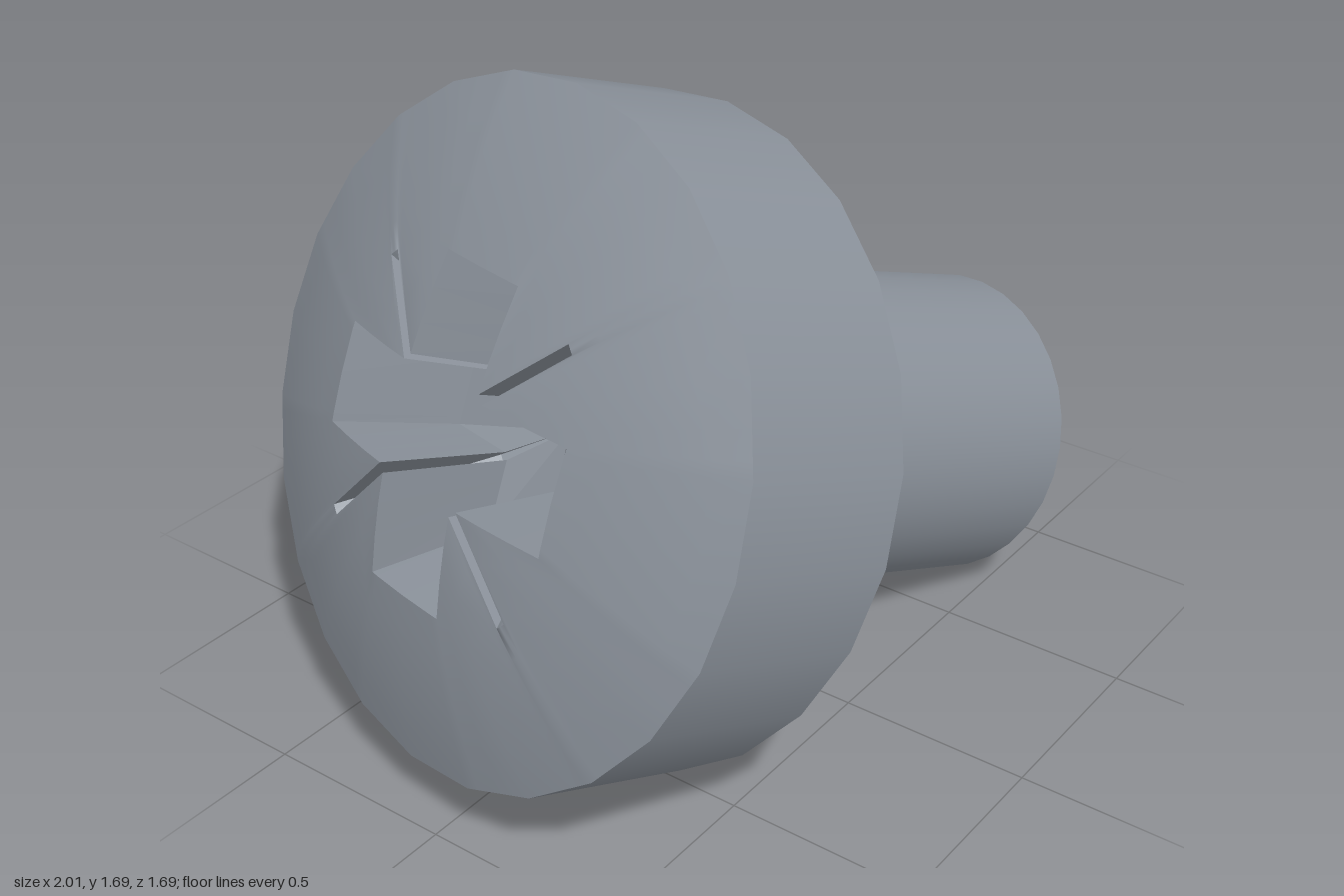
import * as THREE from 'three';

const HEAD_R = 0.815, RIM_Y = 0.47, DOME_H = 0.185, SIDES = 24;

// Ring-to-ring surface: every row holds the same number of [x, y, z] points, inner row first
function loft(rows, flat) {
  const n = rows[0].length, pos = rows.flat(2), idx = [];
  for (let i = 0; i + 1 < rows.length; i++) {
    for (let j = 0; j < n; j++) {
      const k = (j + 1) % n;
      const a = i * n + j, b = a + n, c = (i + 1) * n + k, d = i * n + k;
      idx.push(a, b, c, a, c, d);
    }
  }
  let g = new THREE.BufferGeometry();
  g.setAttribute('position', new THREE.Float32BufferAttribute(pos, 3));
  g.setIndex(idx);
  if (flat) g = g.toNonIndexed();
  g.computeVertexNormals();
  return g;
}

// Repeat one quadrant of [x, y] points four times around the centre
function fourfold(quadrant) {
  const out = [];
  let q = quadrant;
  for (let i = 0; i < 4; i++) {
    out.push(...q);
    q = q.map(([x, y]) => [-y, x]);
  }
  return out;
}

// Half a quadrant mirrored over the diagonal, without doubling its first and last points
function mirrored(half) {
  return [...half, ...half.slice(1, -1).reverse().map(([x, y]) => [y, x])];
}

// Radius of the head's polygonal rim at an angle
function rimRadius(theta) {
  const step = (2 * Math.PI) / SIDES;
  const t = ((theta % step) + step) % step;
  return (HEAD_R * Math.cos(step / 2)) / Math.cos(t - step / 2);
}

const domeY = (t) => RIM_Y + DOME_H * (1 - t * t);

export function createModel() {
  const steel = new THREE.MeshStandardMaterial({ color: 0x8b929b });
  steel.name = 'steel grey';
  const screw = new THREE.Group();
  screw.name = 'screw';
  const add = (name, geometry) => {
    const mesh = new THREE.Mesh(geometry, steel);
    mesh.name = name;
    screw.add(mesh);
  };
  const turned = (name, points, sides) =>
    add(name, new THREE.LatheGeometry(points.map(([r, y]) => new THREE.Vector2(r, y)), sides));

  // Shank, from the tip up to the head
  turned('tipFace', [[0, -1.225], [0.34, -1.225]], 32);
  turned('tipChamfer', [[0.34, -1.225], [0.405, -1.155]], 32);
  turned('shank', [[0.405, -1.155], [0.405, -0.05]], 32);
  const fillet = [];
  for (let i = 0; i <= 5; i++) {
    const a = (i / 5) * Math.PI / 2;
    fillet.push([0.455 - 0.05 * Math.cos(a), -0.05 + 0.05 * Math.sin(a)]);
  }
  turned('shankFillet', fillet, 32);

  // Head cylinder
  turned('headUnderside', [[0.4, 0], [HEAD_R, 0]], SIDES);
  turned('headSide', [[HEAD_R, 0], [HEAD_R, RIM_Y]], SIDES);

  // Cross recess outline: wide wings with thin slots on the diagonals
  const mouth = fourfold(mirrored([
    [0.39, 0], [0.39, 0.1045], [0.39, 0.125], [0.3, 0.125], [0.2165, 0.125],
    [0.143, 0.125], [0.327, 0.309], [0.318, 0.318],
  ]));
  const floor = fourfold(mirrored([
    [0.29, 0], [0.29, 0.078], [0.29, 0.098], [0.225, 0.098], [0.165, 0.098],
    [0.112, 0.098], [0.122, 0.108], [0.115, 0.115],
  ]));

  // Dome rows run from the recess mouth out to the rim
  const domeRow = (f) => mouth.map(([x, y]) => {
    const theta = Math.atan2(y, x), rim = rimRadius(theta);
    const r = THREE.MathUtils.lerp(Math.hypot(x, y), rim, f);
    return [r * Math.cos(theta), domeY(r / rim), -r * Math.sin(theta)];
  });
  add('headDome', loft([0, 0.2, 0.4, 0.6, 0.8, 1].map(domeRow), false));

  // Recess walls and conical floor
  const floorRow = floor.map(([x, y]) => [x, 0.31, -y]);
  const centreRow = floor.map(() => [0, 0.23, 0]);
  add('driveRecess', loft([centreRow, floorRow, domeRow(0)], true));

  // Lean the screw so that it rests on its head rim and tip
  const up = new THREE.Vector3(-0.922, 0.335, -0.194).normalize();
  const side = new THREE.Vector3(0, 1, 0).addScaledVector(up, -up.y).normalize();
  const third = new THREE.Vector3().crossVectors(side, up);
  screw.quaternion.setFromRotationMatrix(new THREE.Matrix4().makeBasis(side, up, third));
  screw.position.set(-0.26, 0.77, 0.045);

  const model = new THREE.Group();
  model.name = 'panHeadScrew';
  model.add(screw);
  return model;
}
